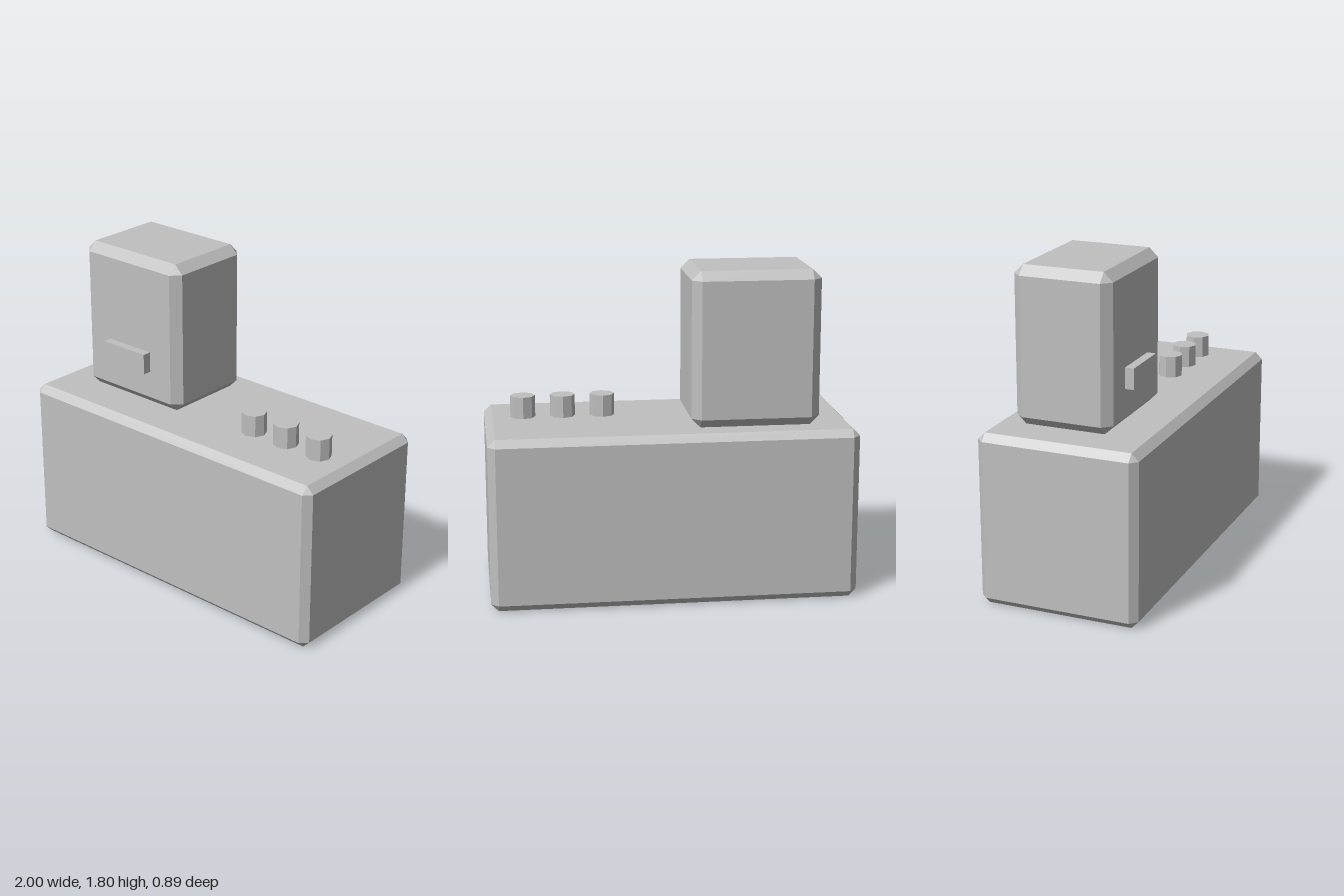
import * as THREE from 'three';
import { ConvexGeometry } from 'three/addons/geometries/ConvexGeometry.js';

// Box with flat chamfers on every edge
function chamferBox(w, h, d, c) {
  const points = [];
  for (const x of [-w / 2, w / 2])
    for (const y of [-h / 2, h / 2])
      for (const z of [-d / 2, d / 2]) {
        const ix = x - Math.sign(x) * c, iy = y - Math.sign(y) * c, iz = z - Math.sign(z) * c;
        points.push(
          new THREE.Vector3(x, iy, iz),
          new THREE.Vector3(ix, y, iz),
          new THREE.Vector3(ix, iy, z));
      }
  return new ConvexGeometry(points);
}

export function createModel() {
  const group = new THREE.Group();
  const grey = new THREE.MeshStandardMaterial({ color: 0xc0c0c0, flatShading: true });
  grey.name = 'grey';

  const add = (name, geometry, x, y, z) => {
    const mesh = new THREE.Mesh(geometry, grey);
    mesh.name = name;
    mesh.position.set(x, y, z);
    group.add(mesh);
  };

  // Main body and the upright housing on its top
  add('body', chamferBox(2, 0.95, 0.894, 0.04), 0, 0.475, 0);
  add('housing', chamferBox(0.7, 0.85, 0.545, 0.05), -0.45, 1.375, -0.052);

  // Raised bar on the front of the housing
  add('frontBar', new THREE.BoxGeometry(0.3, 0.115, 0.1), -0.45, 1.212, 0.22);

  // Row of octagonal knobs
  for (let i = 0; i < 3; i++)
    add(`knob${i + 1}`, new THREE.CylinderGeometry(0.069, 0.069, 0.12, 8), 0.35 + i * 0.22, 1.01, 0.1);

  return group;
}
